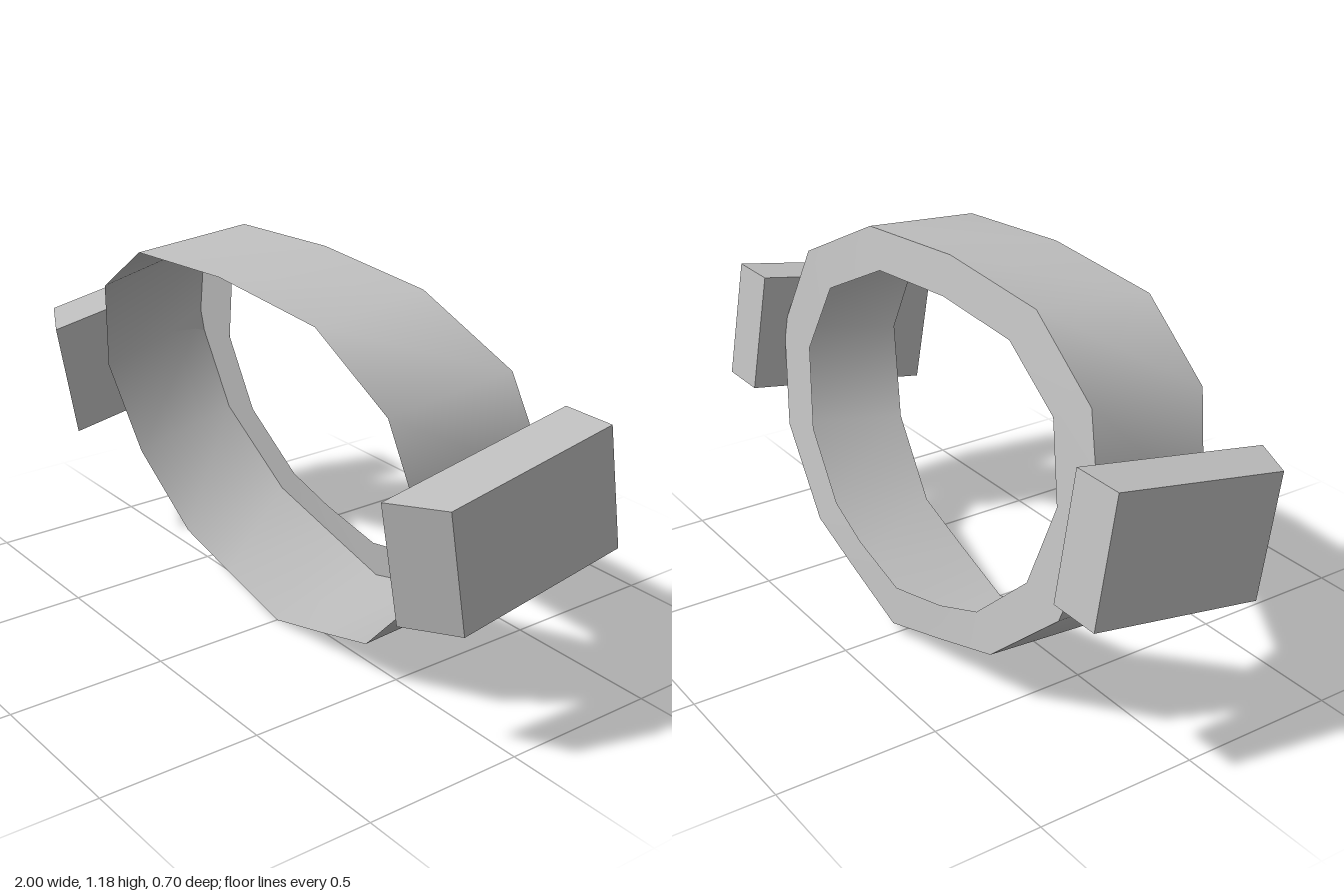
import * as THREE from 'three';

// Half outlines from top centre to bottom centre, [x, y, z]
const frontRim = [[0, 1.157], [0.44, 1.127], [0.71, 0.95], [0.8, 0.645], [0.69, 0.36], [0.47, 0.14], [0.25, 0.074], [0, 0.003]]
  .map(([x, y]) => [x, y, 0.07 + (y - 0.003) * 0.169]);
const backRim = [[0, 1.185, -0.11], [0.43, 1.157, -0.12], [0.74, 1.0, -0.17], [0.845, 0.72, -0.217],
  [0.75, 0.41, -0.267], [0.49, 0.18, -0.307], [0.25, 0.11, -0.319], [0, 0.04, -0.33]];
const holeRim = [[0, 1.065, -0.135], [0.34, 1.045, -0.143], [0.59, 0.92, -0.178], [0.67, 0.7, -0.22],
  [0.595, 0.45, -0.26], [0.4, 0.27, -0.292], [0.23, 0.21, -0.305], [0, 0.16, -0.315]];

// Mirror a half outline into a closed loop
function closeLoop(half) {
  const mirrored = half.slice(1, -1).reverse().map(([x, y, z]) => [-x, y, z]);
  return [...half, ...mirrored];
}

// Strip of quads between two loops with the same number of points
function bridge(a, b) {
  const n = a.length;
  const index = [];
  for (let i = 0; i < n; i++) {
    const j = (i + 1) % n;
    index.push(i, j, n + i, j, n + j, n + i);
  }
  const geometry = new THREE.BufferGeometry();
  geometry.setAttribute('position', new THREE.Float32BufferAttribute([...a, ...b].flat(), 3));
  geometry.setIndex(index);
  geometry.computeVertexNormals();
  return geometry;
}

// Tilted side block whose front slants back towards the outside
function sideBlock(side) {
  const geometry = new THREE.BoxGeometry(2, 2, 2).toNonIndexed();
  const p = geometry.attributes.position;
  for (let i = 0; i < p.count; i++) {
    const outer = p.getX(i) * side > 0;
    const top = p.getY(i) > 0;
    const x = side * (outer ? 1 : 0.832);
    if (p.getZ(i) < 0) p.setXYZ(i, x, top ? 0.904 : 0.53, top ? -0.285 : -0.347);
    else if (outer) p.setXYZ(i, x, top ? 0.807 : 0.438, top ? 0.265 : 0.203);
    else p.setXYZ(i, x, top ? 0.793 : 0.423, top ? 0.349 : 0.287);
  }
  geometry.computeVertexNormals();
  return geometry;
}

export function createModel() {
  const model = new THREE.Group();
  model.name = 'bandWithSideBlocks';
  const grey = new THREE.MeshStandardMaterial({ color: 0xbfbfbf, side: THREE.DoubleSide });
  grey.name = 'plain grey';

  const add = (name, geometry) => {
    const mesh = new THREE.Mesh(geometry, grey);
    mesh.name = name;
    model.add(mesh);
  };

  const [front, back, hole] = [frontRim, backRim, holeRim].map(closeLoop);
  // Open band and the flange closing in its back edge
  add('outerBand', bridge(back, front).toNonIndexed());
  add('backFlange', bridge(hole, back));
  // Blocks at both sides
  add('leftBlock', sideBlock(1));
  add('rightBlock', sideBlock(-1));
  return model;
}
